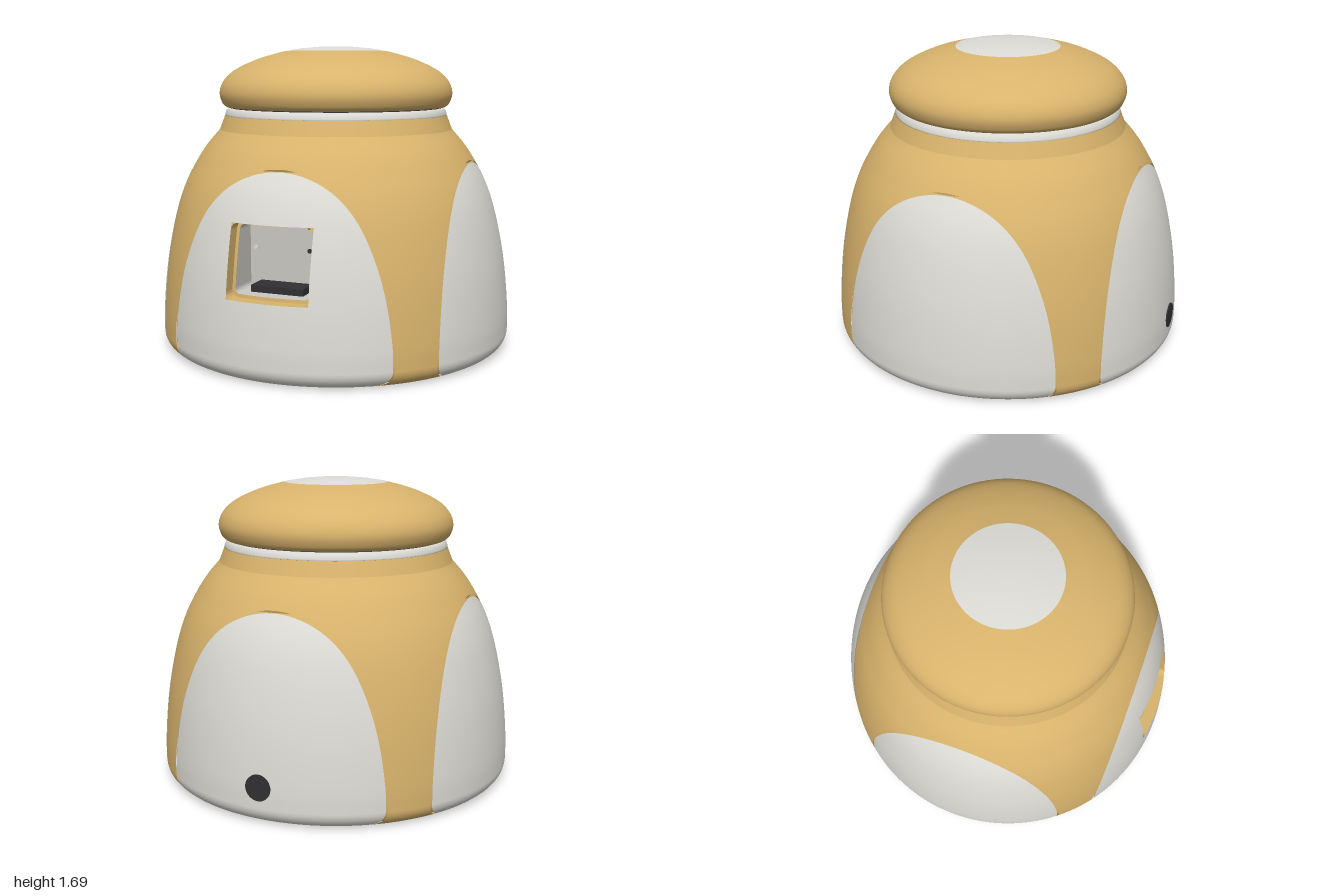
import * as THREE from 'three';

const mat = (name, color, side = THREE.FrontSide) => {
  const m = new THREE.MeshStandardMaterial({ color, side });
  m.name = name;
  return m;
};

// Dome radius by height: rounded foot, then a smooth curve up to the neck
const FOOT = 0.09;
const KEYS = [[0.09, 1], [0.2, 0.999], [0.42, 0.98], [0.6, 0.952], [0.8, 0.905], [0.94, 0.854], [1.06, 0.79], [1.14, 0.737], [1.225, 0.665]];
function radius(y) {
  if (y < FOOT) return 1 - FOOT + Math.sqrt(Math.max(0, FOOT ** 2 - (FOOT - y) ** 2));
  const n = KEYS.length - 1;
  let i = 0;
  while (i < n - 1 && y > KEYS[i + 1][0]) i++;
  const slope = k => {
    const a = KEYS[Math.max(0, k - 1)], b = KEYS[Math.min(n, k + 1)];
    return k === 0 ? 0 : (b[1] - a[1]) / (b[0] - a[0]);
  };
  const [y0, r0] = KEYS[i], [y1, r1] = KEYS[i + 1], h = y1 - y0, t = (y - y0) / h;
  return r0 * (1 + 2 * t) * (1 - t) ** 2 + slope(i) * h * t * (1 - t) ** 2
    + r1 * t * t * (3 - 2 * t) + slope(i + 1) * h * t * t * (t - 1);
}

// Angle at which a vertical plane at distance d cuts the dome at height y
const cut = (y, d) => Math.acos(Math.min(1, d / radius(y)));
function cutTop(d) {
  let lo = 0.5, hi = 1.225;
  for (let i = 0; i < 40; i++) {
    const m = (lo + hi) / 2;
    if (radius(m) > d) lo = m; else hi = m;
  }
  return lo;
}

// Heights between y0 and y1; ease packs them towards y1
const rows = (y0, y1, n, ease = 1) => Array.from({ length: n + 1 }, (_, i) => y1 - (y1 - y0) * (1 - i / n) ** ease);
const footRows = Array.from({ length: 8 }, (_, i) => FOOT * (1 - Math.cos((i / 8) * Math.PI / 2)));

// Patch of the dome between two angles that vary with height
function patch(ys, from, to, cols, inset = 0) {
  const pos = [], nor = [], idx = [], w = cols + 1;
  ys.forEach((y, i) => {
    const r = radius(y) - inset, a = from(y), b = to(y);
    const lo = Math.max(0, y - 0.002), hi = Math.min(1.225, y + 0.002);
    const dr = (radius(hi) - radius(lo)) / (hi - lo);
    for (let j = 0; j <= cols; j++) {
      const t = a + (b - a) * j / cols;
      pos.push(r * Math.sin(t), y, r * Math.cos(t));
      const n = new THREE.Vector3(Math.sin(t), -dr, Math.cos(t)).normalize();
      nor.push(n.x, n.y, n.z);
      if (i && j) {
        const p = (i - 1) * w + j - 1;
        idx.push(p, p + 1, p + w + 1, p, p + w + 1, p + w);
      }
    }
  });
  const g = new THREE.BufferGeometry();
  g.setAttribute('position', new THREE.Float32BufferAttribute(pos, 3));
  g.setAttribute('normal', new THREE.Float32BufferAttribute(nor, 3));
  g.setIndex(idx);
  return g;
}

// Rounded rectangle loop, counter-clockwise from the front, with divided edges
function windowLoop(hw, y0, y1, rad) {
  const pts = [], corners = [[hw - rad, y0 + rad, -90], [hw - rad, y1 - rad, 0], [rad - hw, y1 - rad, 90], [rad - hw, y0 + rad, 180]];
  const at = ([x, y, a], k) => {
    const t = (a + k * 22.5) * Math.PI / 180;
    return [x + rad * Math.cos(t), y + rad * Math.sin(t)];
  };
  corners.forEach((c, i) => {
    for (let k = 0; k < 4; k++) pts.push(at(c, k));
    const p = at(c, 4), q = at(corners[(i + 1) % 4], 0);
    for (let k = 0; k < 10; k++) pts.push([p[0] + (q[0] - p[0]) * k / 10, p[1] + (q[1] - p[1]) * k / 10]);
  });
  return pts;
}
const onDome = (loop, depth) => loop.map(([x, y]) => [x, y, Math.sqrt(radius(y) ** 2 - x * x) - depth]);

// Skin joining successive loops, flat shaded
function skin(loops) {
  const pos = [];
  for (let k = 0; k + 1 < loops.length; k++) {
    const A = loops[k], B = loops[k + 1];
    A.forEach((a, i) => {
      const j = (i + 1) % A.length;
      pos.push(...a, ...A[j], ...B[j], ...a, ...B[j], ...B[i]);
    });
  }
  const g = new THREE.BufferGeometry();
  g.setAttribute('position', new THREE.Float32BufferAttribute(pos, 3));
  g.computeVertexNormals();
  return g;
}

export function createModel() {
  const gold = mat('gold shell', 0xd8b36c, THREE.DoubleSide);
  const white = mat('off white', 0xdddcd6, THREE.DoubleSide);
  const grey = mat('interior grey', 0xc9c8c2, THREE.DoubleSide);
  const dark = mat('dark grey', 0x303034);
  const black = mat('base black', 0x1c1c1e);

  const model = new THREE.Group();
  const add = (name, geo, material, x = 0, y = 0, z = 0) => {
    const m = new THREE.Mesh(geo, material);
    m.name = name;
    m.position.set(x, y, z);
    model.add(m);
    return m;
  };
  const lathe = pts => new THREE.LatheGeometry(pts.map(p => new THREE.Vector2(...p)), 96);

  // Shell corners, seams and side panels, repeated round the dome
  const PANEL = 0.793, BODY = 0.786;
  const bodyTop = cutTop(BODY), panelTop = cutTop(PANEL);
  const bodyRows = [...footRows, ...rows(FOOT, bodyTop, 40, 2), ...rows(bodyTop, 1.225, 10).slice(1)];
  const panelRows = [...footRows, ...rows(FOOT, panelTop, 40, 2)];
  const seamRows = rows(0.03, panelTop, 40, 2);
  const corner = patch(bodyRows, y => cut(y, BODY), y => Math.PI / 2 - cut(y, BODY), 24);
  const panel = patch(panelRows, y => -cut(y, PANEL), y => cut(y, PANEL), 32);
  const seam = patch(seamRows, y => cut(y, 0.81), y => cut(y, 0.77), 2, 0.012);
  const seamMirror = patch(seamRows, y => -cut(y, 0.77), y => -cut(y, 0.81), 2, 0.012);
  for (let k = 0; k < 4; k++) {
    const turn = k * Math.PI / 2;
    add('shellCorner', corner, gold).rotation.y = turn;
    add('panelSeam', seam, gold).rotation.y = turn;
    add('panelSeam', seamMirror, gold).rotation.y = turn;
    if (k) add('sidePanel', panel, white).rotation.y = turn;
  }

  // Front panel, in four pieces around the window
  const HW = 0.225, Y0 = 0.42, Y1 = 0.8;
  const edge = y => cut(y, PANEL), side = y => Math.asin(HW / radius(y));
  add('frontPanelLower', patch([...footRows, ...rows(FOOT, Y0, 12)], y => -edge(y), edge, 32), white);
  add('frontPanelUpper', patch(rows(Y1, panelTop, 24, 2), y => -edge(y), edge, 32), white);
  add('frontPanelLeft', patch(rows(Y0, Y1, 10), side, edge, 10), white);
  add('frontPanelRight', patch(rows(Y0, Y1, 10), y => -edge(y), y => -side(y), 10), white);

  // Window frame and the niche behind it
  const outer = windowLoop(HW, Y0, Y1, 0.035), inner = windowLoop(0.206, 0.437, 0.785, 0.025);
  const lip = onDome(inner, 0.07);
  add('windowFrame', skin([onDome(windowLoop(HW, Y0, Y1, 0), 0), onDome(outer, 0.001), onDome(outer, 0.07), lip]), gold);
  add('nicheWall', skin([lip, inner.map(([x, y]) => [x, y, 0.7])]), grey);
  add('nicheBack', new THREE.BoxGeometry(0.42, 0.36, 0.01), grey, 0, 0.61, 0.697);
  add('nicheTray', new THREE.BoxGeometry(0.29, 0.035, 0.13), dark, 0, 0.455, 0.765);
  add('nicheBar', new THREE.BoxGeometry(0.08, 0.012, 0.008), dark, 0.16, 0.765, 0.705);
  const pin = new THREE.CylinderGeometry(0.012, 0.012, 0.008, 16).rotateX(Math.PI / 2);
  add('nichePin', pin, dark, 0.13, 0.645, 0.705);
  for (const s of [-1, 1]) add('nicheScrew', pin, white, s * 0.174, 0.645, 0.705);

  // Neck, trim ring and lid
  add('neck', lathe([[0.665, 1.225], [0.634, 1.305]]), gold);
  add('trimRing', lathe([[0.632, 1.305], [0.634, 1.312], [0.626, 1.335], [0.615, 1.345], [0.58, 1.346]]), white);
  add('lidGroove', new THREE.CylinderGeometry(0.605, 0.605, 0.02, 96, 1, true), dark, 0, 1.348, 0);
  const lidSide = new THREE.SplineCurve([[0.625, 1.351], [0.648, 1.372], [0.664, 1.425], [0.65, 1.482], [0.607, 1.535], [0.545, 1.576], [0.45, 1.618], [0.37, 1.643], [0.29, 1.664]]
    .map(p => new THREE.Vector2(...p)));
  add('lidUnderside', lathe([[0.58, 1.351], [0.625, 1.351]]), gold);
  add('lid', new THREE.LatheGeometry(lidSide.getPoints(40), 96), gold);
  add('lidCap', lathe([[0.29, 1.664], [0.2, 1.679], [0.1, 1.688], [0, 1.69]]), white);

  // Base plate and rear socket
  add('basePlate', new THREE.CircleGeometry(1 - FOOT, 96).rotateX(Math.PI / 2), black);
  add('rearSocket', new THREE.CylinderGeometry(0.07, 0.07, 0.008, 32).rotateX(Math.PI / 2), dark, 0, 0.2, -0.998);

  return model;
}
